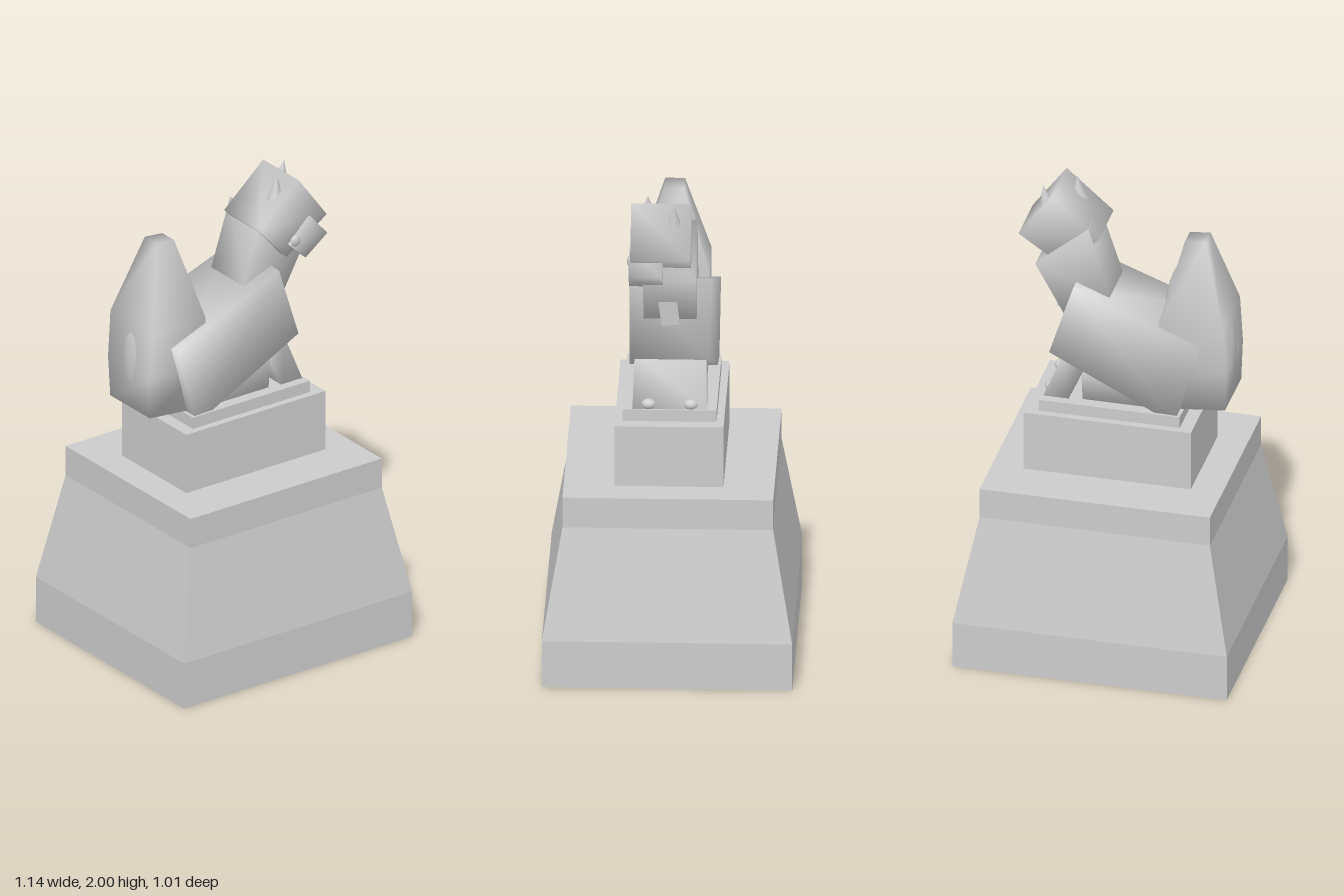
import * as THREE from 'three';

const smooth = new THREE.MeshStandardMaterial({ color: 0xcccccc });
const flat = new THREE.MeshStandardMaterial({ color: 0xcccccc, flatShading: true });

// Closed skin over rings of [x, y, z] points (counter-clockwise seen from the last ring).
function loft(rings) {
  const n = rings[0].length, last = (rings.length - 1) * n, index = [];
  for (let r = 0; r < rings.length - 1; r++) {
    for (let i = 0; i < n; i++) {
      const a = r * n + i, b = r * n + (i + 1) % n;
      index.push(a, b, b + n, a, b + n, a + n);
    }
  }
  for (let i = 1; i < n - 1; i++) {
    index.push(0, i + 1, i, last, last + i, last + i + 1);
  }
  const geometry = new THREE.BufferGeometry();
  geometry.setAttribute('position', new THREE.Float32BufferAttribute(rings.flat(2), 3));
  geometry.setIndex(index);
  geometry.computeVertexNormals();
  return geometry;
}

// Side outline of [x, y] corners spread across z; halfWidth may vary along x.
function slab(outline, halfWidth, zMid = 0) {
  const w = typeof halfWidth === 'function' ? halfWidth : () => halfWidth;
  return loft([-1, 1].map(s => outline.map(([x, y]) => [x, y, zMid + s * w(x, y)])));
}

// Level rectangle ring; the two y values are for its -x and +x edges.
const rect = (x0, x1, hz, y0, y1 = y0) =>
  [[x0, y0, hz], [x1, y1, hz], [x1, y1, -hz], [x0, y0, -hz]];

export function createModel() {
  const model = new THREE.Group();
  const add = (name, geometry, material = smooth, position = [0, 0, 0], rotation = [0, 0, 0]) => {
    const mesh = new THREE.Mesh(geometry, material);
    mesh.name = name;
    mesh.position.set(...position);
    mesh.rotation.set(...rotation);
    model.add(mesh);
    return mesh;
  };
  const ball = (name, position, radii, tilt = 0) =>
    add(name, new THREE.SphereGeometry(1, 16, 12), smooth, position, [0, 0, tilt]).scale.set(...radii);

  // Stepped pedestal
  add('pedestal', loft([
    rect(-0.57, 0.57, 0.505, 0), rect(-0.57, 0.57, 0.505, 0.2),
    rect(-0.48, 0.477, 0.425, 0.66), rect(-0.48, 0.477, 0.425, 0.79),
  ]), flat);
  add('plinth', new THREE.BoxGeometry(0.695, 0.26, 0.44), flat, [-0.002, 0.92, 0]);
  add('plinthCap', new THREE.BoxGeometry(0.585, 0.05, 0.38), flat, [-0.003, 1.075, 0]);

  // Sloping trunk, narrower at the chest
  add('body', slab([[-0.27, 1.06], [0.255, 1.31], [0.155, 1.62], [-0.37, 1.41]],
    x => 0.17 - 0.04 * x));
  add('hindLegs', slab([[-0.22, 1.09], [0.12, 1.09], [0.127, 1.25], [-0.2, 1.25]], 0.14));
  add('frontLegs', slab([[0.18, 1.09], [0.285, 1.09], [0.195, 1.31], [0.1, 1.27]],
    (x, y) => 0.15 + (1.1 - y) * 0.03));
  for (const side of [-1, 1]) ball('toe', [0.265, 1.117, side * 0.085], [0.025, 0.022, 0.03]);

  // Upright bushy tail with a slight swelling fore and aft
  add('tail', loft([
    rect(-0.47, -0.195, 0.135, 1.125, 1.1), rect(-0.475, -0.192, 0.143, 1.3),
    rect(-0.463, -0.197, 0.143, 1.5), rect(-0.367, -0.28, 0.04, 1.84, 1.832),
  ]));
  ball('tailSwelling', [-0.44, 1.33, 0], [0.042, 0.16, 0.07]);
  ball('tailSwelling', [-0.235, 1.58, 0], [0.035, 0.13, 0.07], 0.2);

  // Neck and turned head
  add('neck', slab([[0.015, 1.57], [0.2, 1.455], [0.325, 1.68], [0.11, 1.86]], 0.107));
  add('head', slab([[0.065, 1.82], [0.2, 1.665], [0.4, 1.8], [0.26, 1.99]], 0.121, 0.034));
  add('snout', slab([[0.205, 1.72], [0.29, 1.64], [0.398, 1.72], [0.31, 1.82]], 0.068, 0.094));
  for (const z of [0.025, 0.16]) ball('nostril', [0.24, 1.728, z], [0.024, 0.024, 0.013]);

  // Pointed ears
  const ear = new THREE.ConeGeometry(0.035, 0.1, 10);
  add('ear', ear, smooth, [0.195, 1.95, 0.09], [0, 0, -0.1]);
  add('ear', ear, smooth, [0.305, 1.95, -0.02], [0, 0, -0.2]);

  // Thin beard hanging before the neck
  add('beard', new THREE.BoxGeometry(0.012, 0.15, 0.075), smooth, [0.25, 1.53, 0.005], [0.12, 0, -0.06]);

  return model;
}
